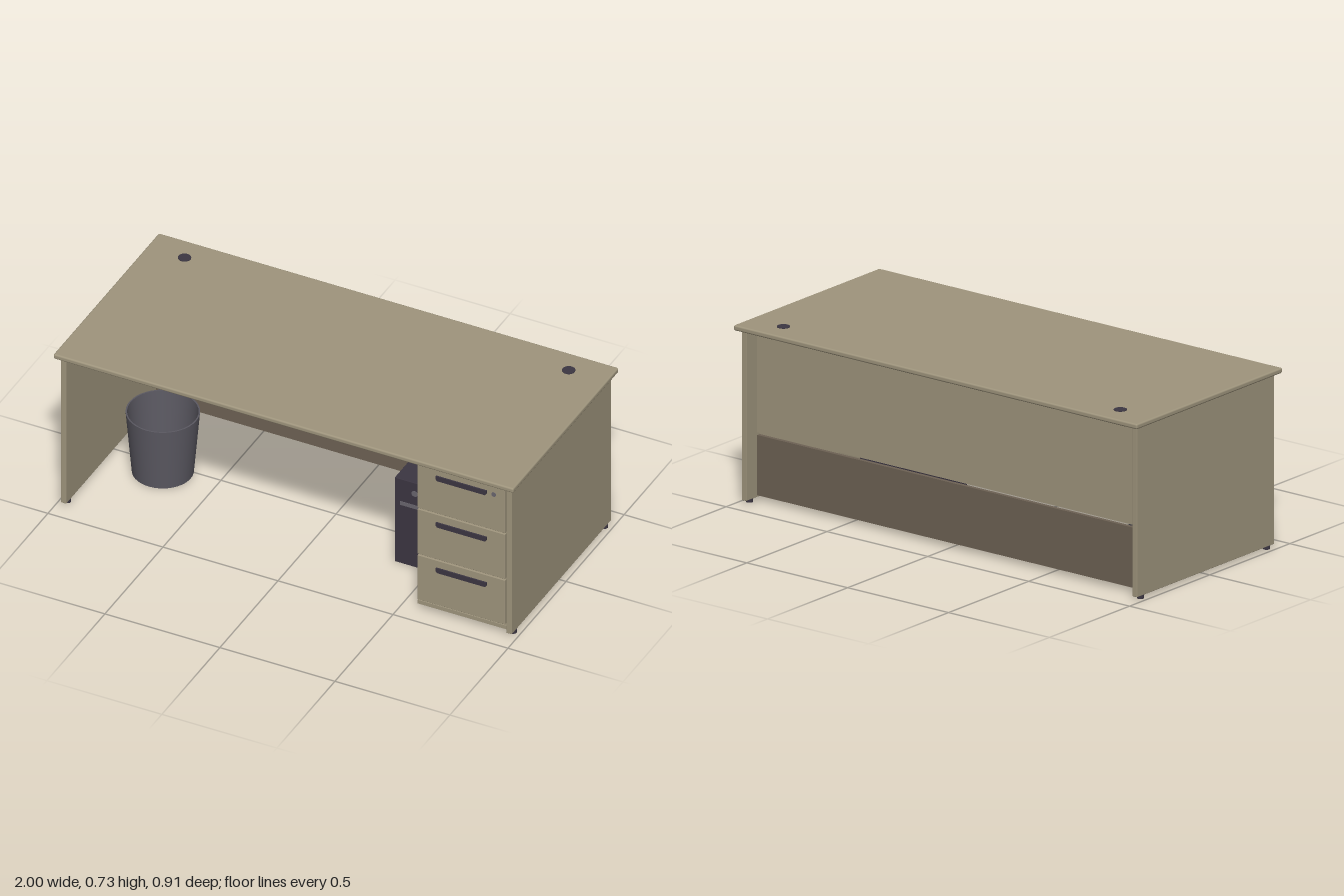
import * as THREE from 'three';
import { RoundedBoxGeometry } from 'three/addons/geometries/RoundedBoxGeometry.js';

const material = (name, color, side = THREE.FrontSide) => {
  const m = new THREE.MeshStandardMaterial({ color, side });
  m.name = name;
  return m;
};

export function createModel() {
  const wood = material('light wood', 0x9f957d);
  const darkWood = material('dark wood', 0x6e6254);
  const black = material('dark plastic', 0x3c3642);
  const grey = material('grey metal', 0x69656e);
  const binGrey = material('bin grey', 0x5b5962, THREE.DoubleSide);

  const model = new THREE.Group();
  model.name = 'officeDesk';

  const add = (parent, name, geometry, mat, x, y, z) => {
    const mesh = new THREE.Mesh(geometry, mat);
    mesh.name = name;
    mesh.position.set(x, y, z);
    parent.add(mesh);
    return mesh;
  };
  // Box given by its limits on each axis; an edge radius is optional
  const box = (parent, name, mat, [x0, x1], [y0, y1], [z0, z1], r = 0) => {
    const size = [x1 - x0, y1 - y0, z1 - z0];
    const g = r ? new RoundedBoxGeometry(...size, 2, r) : new THREE.BoxGeometry(...size);
    return add(parent, name, g, mat, (x0 + x1) / 2, (y0 + y1) / 2, (z0 + z1) / 2);
  };
  // Thin disc facing the front
  const frontDisc = (parent, name, mat, r, x, y, z) => {
    const g = new THREE.CylinderGeometry(r, r, 0.006, 24).rotateX(Math.PI / 2);
    return add(parent, name, g, mat, x, y, z);
  };

  // Desk top
  box(model, 'deskTop', wood, [-1, 1], [0.708, 0.73], [-0.455, 0.455], 0.007);

  // Side panels, feet and cable grommets, mirrored
  for (const s of [-1, 1]) {
    const xs = s < 0 ? [-0.98, -0.957] : [0.957, 0.98];
    box(model, 'sidePanel', wood, xs, [0.013, 0.706], [-0.428, 0.428], 0.002);
    for (const z of [-0.393, 0.393]) {
      add(model, 'foot', new THREE.CylinderGeometry(0.014, 0.014, 0.014, 20), black, s * 0.969, 0.007, z);
    }
    add(model, 'cableGrommet', new THREE.CylinderGeometry(0.026, 0.026, 0.004, 28), black, s * 0.835, 0.7305, -0.35);
  }

  // Back panels with a narrow gap between them
  box(model, 'upperBackPanel', wood, [-0.957, 0.957], [0.277, 0.707], [-0.36, -0.344]);
  box(model, 'lowerBackPanel', darkWood, [-0.957, 0.957], [0.02, 0.266], [-0.36, -0.344]);

  // Drawer pedestal
  const pedestal = new THREE.Group();
  pedestal.name = 'drawerPedestal';
  model.add(pedestal);
  box(pedestal, 'carcass', wood, [0.568, 0.956], [0.027, 0.707], [-0.343, 0.411]);
  box(pedestal, 'plinth', wood, [0.568, 0.955], [0.027, 0.044], [0.411, 0.424]);

  // Handle with tapered lower corners
  const handleShape = new THREE.Shape();
  handleShape.moveTo(-0.11, 0.011);
  handleShape.lineTo(-0.11, -0.004);
  handleShape.lineTo(-0.104, -0.011);
  handleShape.lineTo(0.104, -0.011);
  handleShape.lineTo(0.11, -0.004);
  handleShape.lineTo(0.11, 0.011);
  const handleGeometry = new THREE.ExtrudeGeometry(handleShape, { depth: 0.007, bevelEnabled: false });

  const drawers = [[0.05, 0.261, 0.217], [0.267, 0.48, 0.434], [0.486, 0.699, 0.655]];
  for (const [y0, y1, handleY] of drawers) {
    box(pedestal, 'drawerFront', wood, [0.57, 0.951], [y0, y1], [0.411, 0.428], 0.002);
    add(pedestal, 'drawerHandle', handleGeometry, black, 0.762, handleY, 0.427);
  }
  frontDisc(pedestal, 'drawerLock', grey, 0.01, 0.902, 0.656, 0.427);

  // Computer tower under the desk
  const tower = new THREE.Group();
  tower.name = 'computerTower';
  model.add(tower);
  box(tower, 'towerCase', black, [0.346, 0.519], [0.001, 0.401], [-0.27, 0.18], 0.002);
  box(tower, 'driveSlot', grey, [0.371, 0.495], [0.279, 0.296], [0.177, 0.182]);
  frontDisc(tower, 'powerButton', grey, 0.013, 0.433, 0.35, 0.179);

  // Open, tapered waste bin
  const binProfile = [
    [0, 0.002], [0.121, 0.002], [0.121, 0.002], [0.145, 0.284], [0.145, 0.284],
    [0.139, 0.284], [0.139, 0.284], [0.116, 0.01], [0.116, 0.01], [0, 0.01],
  ].map(([r, y]) => new THREE.Vector2(r, y));
  add(model, 'wasteBin', new THREE.LatheGeometry(binProfile, 40), binGrey, -0.73, 0, 0.045);

  return model;
}
